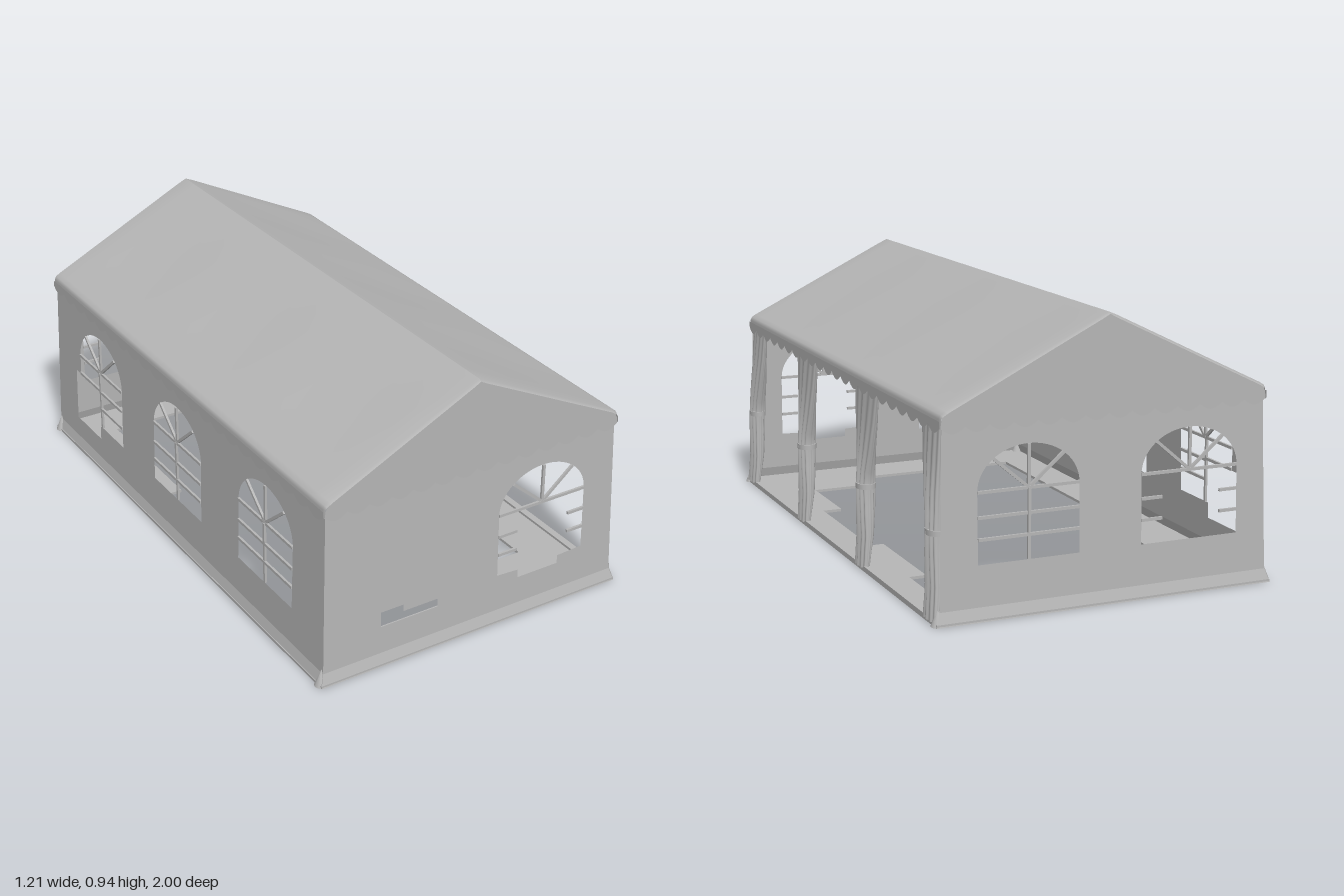
import * as THREE from 'three';

const canvas = new THREE.MeshStandardMaterial({ color: 0xb6b6b6, side: THREE.DoubleSide });
canvas.name = 'greyCanvas';

const HX = 0.565, HZ = 0.969, HEM = 0.045, EAVE = 0.64;

function add(parent, geometry, name) {
  const mesh = new THREE.Mesh(geometry, canvas);
  mesh.name = name;
  parent.add(mesh);
  return mesh;
}

// how far the walls lean outward at height y, with a small flared hem
const flare = (y) => y < HEM ? 0.03 - 0.014 * y / HEM : 0.016 * (EAVE - y) / (EAVE - HEM);

const polygon = (pts) => new THREE.Shape(pts.map(([x, y]) => new THREE.Vector2(x, y)));

// arched window outline; the lower edge can be given to add cut-outs
function windowHole(c, lower, w = 0.175) {
  const path = new THREE.Path();
  path.moveTo(c + w, 0.41);
  path.absellipse(c, 0.41, w, 0.14, 0, Math.PI, false);
  (lower || [[c - w, 0.18], [c + w, 0.18]]).forEach(([x, y]) => path.lineTo(x, y));
  path.closePath();
  return path;
}

// wall seen from outside: u to the right, y up, outward = +z
function makeWall(name, half, dist, holes, bars) {
  const g = new THREE.Group();
  g.name = name;
  const panel = (y0, y1, cuts, part) => {
    const a = half + flare(y0), b = half + flare(y1);
    const shape = polygon([[-a, y0], [a, y0], [b, y1], [-b, y1]]);
    shape.holes = cuts;
    const geo = new THREE.ShapeGeometry(shape, 16);
    const p = geo.attributes.position;
    for (let i = 0; i < p.count; i++) p.setZ(i, dist + flare(p.getY(i)));
    geo.computeVertexNormals();
    add(g, geo, part);
  };
  panel(HEM, EAVE, holes, 'wallPanel');
  panel(0, HEM, [], 'wallHem');
  for (const [x0, y0, x1, y1] of bars) {
    const m = add(g, new THREE.BoxGeometry(Math.hypot(x1 - x0, y1 - y0), 0.01, 0.008), 'windowBar');
    m.position.set((x0 + x1) / 2, (y0 + y1) / 2, dist + flare((y0 + y1) / 2));
    m.rotation.z = Math.atan2(y1 - y0, x1 - x0);
  }
  return g;
}

const fan = (c) => [
  [c, 0.41, c, 0.55], [c, 0.41, c - 0.12, 0.512], [c, 0.41, c + 0.12, 0.512],
  [c - 0.175, 0.41, c + 0.175, 0.41],
];
const grid = (c) => [
  ...fan(c), [c, 0.18, c, 0.41],
  [c - 0.175, 0.33, c + 0.175, 0.33], [c - 0.175, 0.26, c + 0.175, 0.26],
];
// fan with broken-off cross bars below
const broken = (c) => [
  ...fan(c),
  ...[0.33, 0.26].flatMap((y) => [[c - 0.175, y, c - 0.1, y], [c + 0.11, y, c + 0.175, y]]),
];

// lower edge of a valance, from u = a to u = b
function scallops(a, b, count) {
  const pts = [], n = count * 6;
  for (let i = 0; i <= n; i++)
    pts.push([a + (b - a) * i / n, 0.622 - 0.02 * Math.abs(Math.sin(Math.PI * i / 6))]);
  return pts;
}

// grid surface from rows of points
function loft(rows) {
  const cols = rows[0].length, index = [];
  for (let i = 0; i < rows.length - 1; i++)
    for (let j = 0; j < cols - 1; j++) {
      const a = i * cols + j, b = a + cols;
      index.push(a, b, a + 1, b, b + 1, a + 1);
    }
  const geo = new THREE.BufferGeometry();
  geo.setAttribute('position', new THREE.Float32BufferAttribute(rows.flat(2), 3));
  geo.setIndex(index);
  geo.computeVertexNormals();
  return geo;
}

function makeRoof() {
  const g = new THREE.Group();
  g.name = 'roof';
  // each slope sags a little between the frames; the ends are rounded in
  const zs = [-0.977, -0.968];
  for (let i = 1; i < 24; i++) zs.push(-0.968 + 1.936 * i / 24);
  zs.push(0.968, 0.977);
  const profile = [[0.574, 0.62], [0.574, 0.652], [0.568, 0.664], [0.552, 0.674], [0.4, 0.748], [0.2, 0.846], [0.03, 0.929], [0, 0.942]];
  for (const s of [1, -1]) {
    const rows = zs.map((z) => {
      const k = Math.abs(z) > 0.97 ? 0.006 : 0;
      const sag = 0.005 * Math.sin(Math.PI * 1.5 * (z / 0.968 + 1)) ** 2;
      return profile.map(([x, y], j) => [s * Math.max(0, x - k), y - k * (j > 1) - (j === 4 || j === 5 ? sag : 0), z]);
    });
    if (s < 0) rows.reverse();
    add(g, loft(rows), 'roofSlope');
    const edge = polygon([...scallops(-HZ - 0.006, HZ + 0.006, 22), [HZ + 0.006, 0.645], [-HZ - 0.006, 0.645]]);
    const valance = add(g, new THREE.ShapeGeometry(edge), 'sideValance');
    valance.rotation.y = s * Math.PI / 2;
    valance.position.x = s * 0.576;
    const top = profile.slice(1).map(([x, y]) => [Math.max(0, x - 0.006), y - 0.006]);
    const left = top.slice(0, -1).reverse().map(([x, y]) => [-x, y]);
    const gable = add(g, new THREE.ShapeGeometry(polygon([...scallops(-0.572, 0.572, 14), ...top, ...left])), 'gable');
    gable.position.z = s * 0.977;
    if (s < 0) gable.rotation.y = Math.PI;
  }
  return g;
}

// tied-back pleated curtain; rows are [y, centre z, half width, half depth]
function makeCurtain(rows, name) {
  const g = new THREE.Group();
  g.name = name;
  const n = 72;
  const rings = rows.map(([y, zc, hw, hd]) => {
    const ring = [];
    for (let i = 0; i <= n; i++) {
      const t = -2 * Math.PI * i / n, r = 1 + 0.16 * Math.cos(12 * t);
      ring.push([0.56 + flare(y) + hd * r * Math.cos(t), y, zc + hw * Math.sin(t) * (0.9 + 0.1 * r)]);
    }
    return ring;
  });
  add(g, loft(rings), 'pleatedCloth');
  const [y, zc, hw, hd] = rows[4];
  const tie = add(g, new THREE.CylinderGeometry(1, 1, 0.018, 20), 'tieBand');
  tie.scale.set(hd * 1.15, 1, hw * 1.15);
  tie.position.set(0.56 + flare(y), y, zc);
  return g;
}

export function createModel() {
  const tent = new THREE.Group();
  tent.name = 'partyTent';

  // front wall: one window and a stepped slot
  const c = 0.275;
  const slot = new THREE.Path(polygon([[-0.36, 0.145], [-0.14, 0.145], [-0.14, 0.175], [-0.275, 0.175], [-0.275, 0.2], [-0.36, 0.2]]).getPoints());
  const frontLower = [[0.1, 0.18], [0.185, 0.175], [0.185, 0.145], [0.35, 0.145], [0.35, 0.175], [0.45, 0.18]];
  tent.add(makeWall('frontWall', HX, HZ, [windowHole(c, frontLower), slot], broken(c)));

  // back wall: two windows
  const back = makeWall('backWall', HX, HZ, [windowHole(-c), windowHole(0.295)], [...grid(-c), ...broken(0.295)]);
  back.rotation.y = Math.PI;
  tent.add(back);

  // left-hand long wall: three windows, the rear one with a torn corner
  const r = -0.605;
  const torn = [[-0.78, 0.33], [-0.82, 0.33], [-0.82, 0.125], [-0.62, 0.125], [-0.62, 0.18], [-0.43, 0.18]];
  const rearBars = [...fan(r), [r, 0.18, r, 0.41], [r, 0.33, -0.43, 0.33], [r, 0.26, -0.43, 0.26], [-0.78, 0.335, r, 0.335]];
  const side = makeWall('longWall', HZ, HX, [windowHole(0.61), windowHole(0), windowHole(r, torn)],
    [...grid(0.61), ...grid(0), ...rearBars]);
  side.rotation.y = -Math.PI / 2;
  tent.add(side);

  tent.add(makeRoof());

  // curtains along the open side
  for (const s of [1, -1]) {
    tent.add(makeCurtain([
      [0.63, s * 0.31, 0.11, 0.01], [0.52, s * 0.31, 0.092, 0.016], [0.42, s * 0.31, 0.066, 0.022], [0.34, s * 0.31, 0.04, 0.027],
      [0.29, s * 0.31, 0.034, 0.029], [0.22, s * 0.31, 0.042, 0.027], [0.12, s * 0.31, 0.05, 0.022], [0.012, s * 0.31, 0.054, 0.016],
    ], 'middleCurtain'));
    tent.add(makeCurtain([
      [0.63, s * 0.885, 0.078, 0.01], [0.52, s * 0.893, 0.07, 0.016], [0.42, s * 0.905, 0.055, 0.022], [0.34, s * 0.918, 0.042, 0.025],
      [0.29, s * 0.922, 0.037, 0.026], [0.22, s * 0.922, 0.042, 0.025], [0.12, s * 0.925, 0.048, 0.021], [0.012, s * 0.93, 0.054, 0.016],
    ], 'cornerCurtain'));
  }

  // ground border with a stepped opening
  const border = polygon([[-0.595, -0.998], [0.595, -0.998], [0.595, 0.998], [-0.595, 0.998]]);
  border.holes.push(new THREE.Path(polygon([
    [-0.46, 0.82], [-0.46, -0.3], [-0.41, -0.3], [-0.41, -0.84], [0.1, -0.84], [0.1, -0.8], [0.49, -0.8], [0.49, -0.5], [0.43, -0.5],
    [0.43, -0.1], [0.48, -0.1], [0.48, 0.4], [0.41, 0.4], [0.41, 0.7], [0.2, 0.7], [0.2, 0.82],
  ]).getPoints()));
  const floor = new THREE.ExtrudeGeometry(border, { depth: 0.01, bevelEnabled: false });
  floor.rotateX(Math.PI / 2).translate(0, 0.01, 0);
  add(tent, floor, 'groundBorder');

  // low sill across the open side
  const sill = add(tent, new THREE.BoxGeometry(0.025, 0.018, 1.97), 'doorSill');
  sill.position.set(0.584, 0.01, 0);

  // weighted cloth tips at the four ground corners
  for (const sx of [1, -1]) for (const sz of [1, -1]) {
    const tip = add(tent, new THREE.ConeGeometry(0.024, 0.06, 12), 'cornerTip');
    tip.position.set(sx * 0.582, 0.03, sz * 0.976);
  }

  return tent;
}
